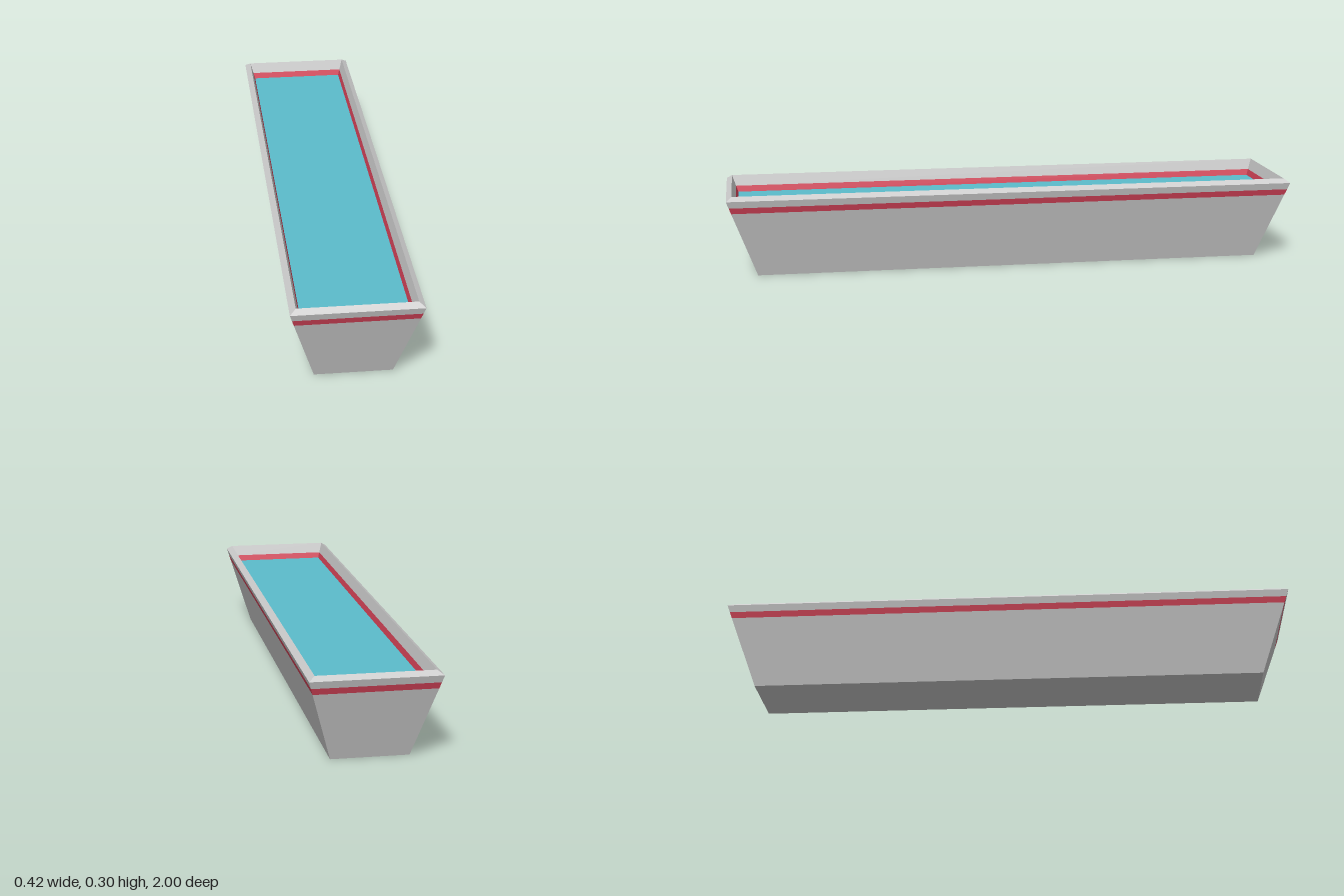
import * as THREE from 'three';

const grey = new THREE.MeshStandardMaterial({ color: 0xcccccc, flatShading: true });
const red = new THREE.MeshStandardMaterial({ color: 0xd34257, flatShading: true });
const blue = new THREE.MeshStandardMaterial({ color: 0x5bbccb, flatShading: true });

// Rectangular ring [halfWidth, halfLength, height] on the sloping wall, set in by inset
const ring = (y, inset = 0) => [0.127 + 0.293 * y - inset, 0.9 + 0.353 * y - inset, y];

// Four-sided band joining two rings; faces outward going up, inward going down
function band(name, a, b, material) {
  const signs = [[1, 1], [1, -1], [-1, -1], [-1, 1]];
  const corner = (r, i) => [signs[i % 4][0] * r[0], r[2], signs[i % 4][1] * r[1]];
  const points = [];
  for (let i = 0; i < 4; i++) {
    const p = corner(a, i), q = corner(a, i + 1), r = corner(b, i + 1), s = corner(b, i);
    points.push(...p, ...q, ...r, ...p, ...r, ...s);
  }
  const geometry = new THREE.BufferGeometry();
  geometry.setAttribute('position', new THREE.Float32BufferAttribute(points, 3));
  geometry.computeVertexNormals();
  const mesh = new THREE.Mesh(geometry, material);
  mesh.name = name;
  return mesh;
}

// Horizontal panel filling a ring, facing up or down
function panel(name, r, up, material) {
  const geometry = new THREE.PlaneGeometry(2 * r[0], 2 * r[1]);
  geometry.rotateX(up ? -Math.PI / 2 : Math.PI / 2).translate(0, r[2], 0);
  const mesh = new THREE.Mesh(geometry, material);
  mesh.name = name;
  return mesh;
}

export function createModel() {
  const group = new THREE.Group();
  group.name = 'pool';
  const wall = 0.024; // wall thickness
  const stripeLow = 0.238, stripeHigh = 0.259, lip = 0.283, top = 0.297;

  group.add(
    // Outside of the tapered basin
    panel('basinBottom', ring(0), false, grey),
    band('outerWall', ring(0), ring(stripeLow), grey),
    band('outerStripe', ring(stripeLow), ring(stripeHigh), red),
    band('outerLip', ring(stripeHigh), ring(lip), grey),
    // Bevelled rim
    band('rim', ring(lip), ring(top, wall), grey),
    // Inside, down to the water
    band('innerLip', ring(top, wall), ring(stripeHigh, wall), grey),
    band('innerStripe', ring(stripeHigh, wall), ring(stripeLow, wall), red),
    panel('water', ring(stripeLow, wall), true, blue)
  );
  return group;
}
